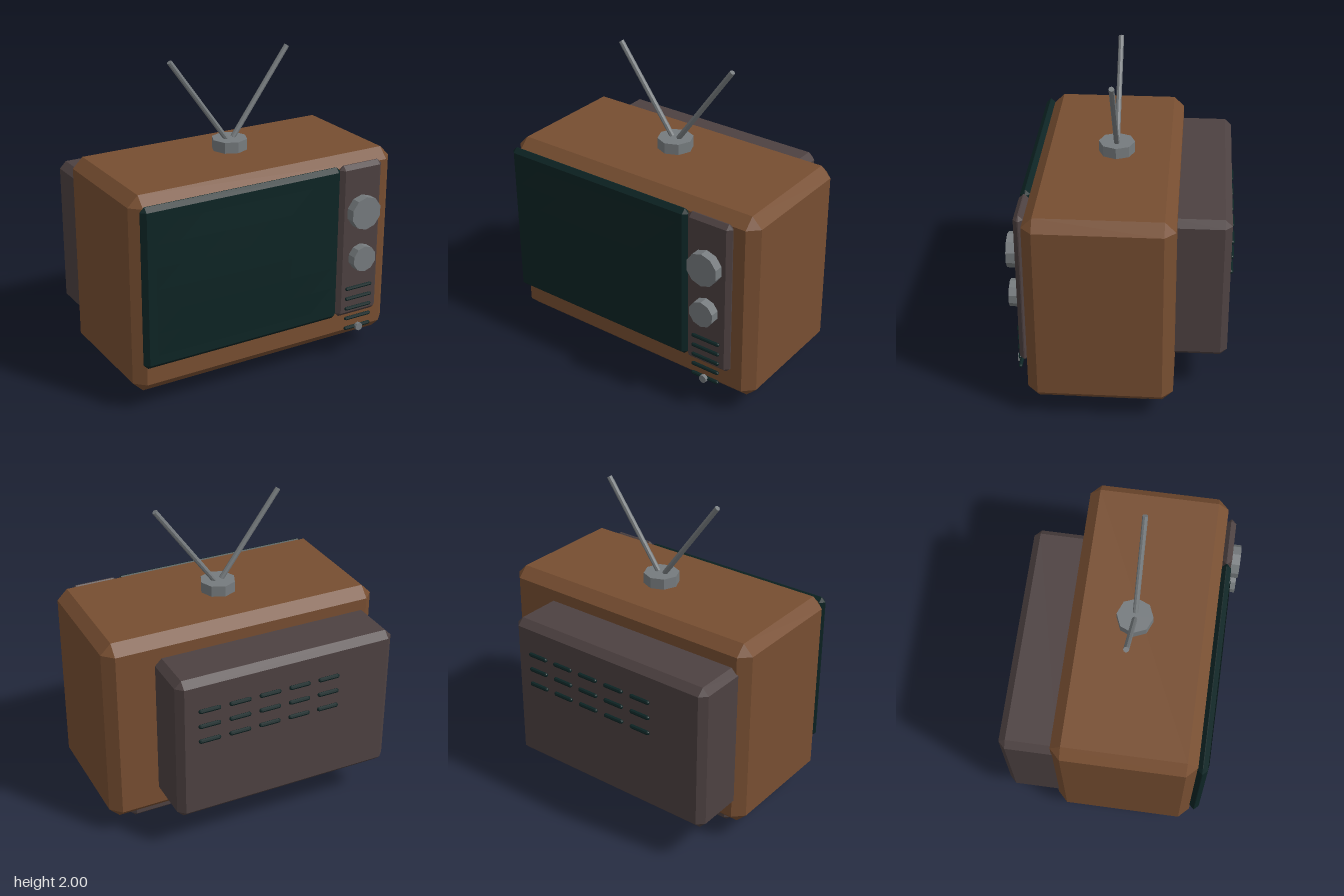
import * as THREE from 'three';
import { ConvexGeometry } from 'three/addons/geometries/ConvexGeometry.js';

const mat = (name, color, side = THREE.FrontSide) => {
  const m = new THREE.MeshStandardMaterial({ color, side, flatShading: true });
  m.name = name;
  return m;
};

export function createModel() {
  const wood = mat('brown wood', 0x774e31);
  const plastic = mat('dark plastic', 0x4d4141);
  const glass = mat('dark teal', 0x0d2424, THREE.DoubleSide);
  const metal = mat('grey metal', 0x767b7e);

  const tv = new THREE.Group();
  tv.name = 'television';

  const add = (name, geometry, material, x = 0, y = 0, z = 0) => {
    const mesh = new THREE.Mesh(geometry, material);
    mesh.name = name;
    mesh.position.set(x, y, z);
    tv.add(mesh);
    return mesh;
  };

  // Box with flat chamfers on every edge, given by its limits
  const chamferBox = (name, material, [x0, x1], [y0, y1], [z0, z1], c) => {
    const h = [(x1 - x0) / 2, (y1 - y0) / 2, (z1 - z0) / 2];
    const points = [];
    for (const sx of [-1, 1]) for (const sy of [-1, 1]) for (const sz of [-1, 1])
      for (let full = 0; full < 3; full++) {
        const [a, b, d] = h.map((v, i) => (i === full ? v : v - c));
        points.push(new THREE.Vector3(sx * a, sy * b, sz * d));
      }
    return add(name, new ConvexGeometry(points), material,
      (x0 + x1) / 2, (y0 + y1) / 2, (z0 + z1) / 2);
  };

  // Cabinet, rear housing and feet
  chamferBox('cabinet', wood, [-0.915, 0.915], [0.125, 1.38], [-0.33, 0.558], 0.066);
  chamferBox('rearHousing', plastic, [-0.858, 0.602], [0.27, 1.24], [-0.655, -0.25], 0.043);
  for (const s of [-1, 1])
    chamferBox('foot', plastic, [s * 0.585 - 0.148, s * 0.585 + 0.148], [0.005, 0.135], [-0.19, 0.28], 0.03);

  // Screen frame and control panel
  chamferBox('screenFrame', glass, [-0.885, 0.477], [0.32, 1.34], [0.555, 0.616], 0.028);
  chamferBox('controlPanel', plastic, [0.475, 0.785], [0.32, 1.34], [0.555, 0.616], 0.027);

  // Gently bulging screen
  const screen = new THREE.PlaneGeometry(1.22, 0.84, 8, 6);
  const p = screen.attributes.position;
  for (let i = 0; i < p.count; i++) {
    const u = p.getX(i) / 0.61, v = p.getY(i) / 0.42;
    p.setZ(i, 0.014 * (1 - u * u) * (1 - v * v));
  }
  add('screen', screen, glass, -0.197, 0.83, 0.623);

  // Knobs
  const knob = (name, r, depth, y, z) =>
    add(name, new THREE.CylinderGeometry(r, r, depth, 10), metal, 0.628, y, z).rotation.x = Math.PI / 2;
  knob('channelKnob', 0.108, 0.06, 1.032, 0.645);
  knob('volumeKnob', 0.085, 0.06, 0.725, 0.645);
  knob('powerButton', 0.026, 0.022, 0.238, 0.638);

  // Rounded slots lying along x
  const slot = (name, length, r, x, y, z) =>
    add(name, new THREE.CapsuleGeometry(r, length - 2 * r, 3, 8), glass, x, y, z).rotation.z = Math.PI / 2;
  for (const y of [0.515, 0.445, 0.376, 0.307, 0.238]) slot('speakerSlot', 0.2, 0.012, 0.628, y, 0.622);
  for (const y of [1.03, 0.925, 0.82])
    for (let i = -2; i <= 2; i++) slot('rearVent', 0.145, 0.014, i * 0.2, y, -0.66);

  // Antenna base and its two rods
  add('antennaBase', new THREE.CylinderGeometry(0.113, 0.113, 0.07, 8), metal, 0, 1.423, 0.068);
  for (const s of [-1, 1]) {
    const rod = add('antennaRod', new THREE.CylinderGeometry(0.017, 0.017, 0.66, 8), metal, s * 0.218, 1.725, 0.068);
    rod.rotation.z = -s * Math.atan2(0.38, 0.525);
  }
  return tv;
}
